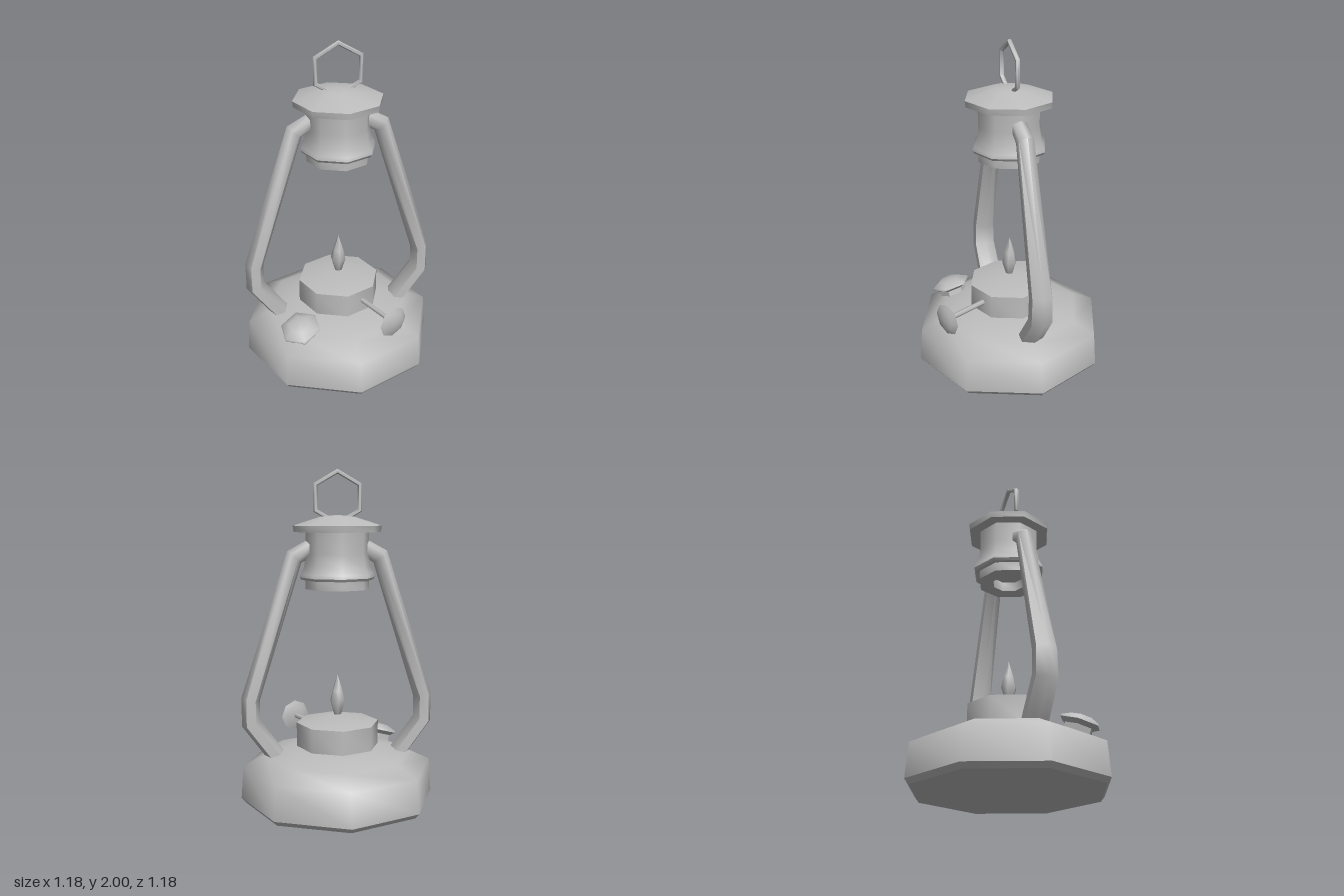
import * as THREE from 'three';
import { toCreasedNormals } from 'three/addons/utils/BufferGeometryUtils.js';

const metal = new THREE.MeshStandardMaterial({ color: 0xbcbcbc });
metal.name = 'grey metal';

function add(parent, name, geometry) {
  const mesh = new THREE.Mesh(geometry, metal);
  mesh.name = name;
  parent.add(mesh);
  return mesh;
}

// Faceted turned part; points run from the bottom up the outside
function turned(points, sides = 8) {
  return new THREE.LatheGeometry(points.map(p => new THREE.Vector2(...p)), sides);
}

const creased = (geometry, angle = 0.82) => toCreasedNormals(geometry, angle);

// Mitred hexagonal tube along path points [x, y, halfWidth, halfDepth]
function sweptArm(path, sides = 6) {
  const pts = path.map(p => new THREE.Vector2(p[0], p[1]));
  const positions = [], index = [];
  path.forEach(([x, y, w, d], i) => {
    const before = pts[i].clone().sub(pts[Math.max(i - 1, 0)]).normalize();
    const after = pts[Math.min(i + 1, pts.length - 1)].clone().sub(pts[i]).normalize();
    const t = before.clone().add(after).normalize();
    const stretch = w / t.dot(i ? before : after);
    for (let j = 0; j < sides; j++) {
      const a = (j / sides) * Math.PI * 2;
      const u = Math.cos(a) * stretch;
      const v = Math.sin(a) / Math.sin(Math.PI / 3) * d;
      positions.push(x + t.y * u, y - t.x * u, -v);
      if (i < path.length - 1) {
        const p = i * sides + j, q = i * sides + (j + 1) % sides;
        index.push(p, q, p + sides, q, q + sides, p + sides);
      }
    }
  });
  const g = new THREE.BufferGeometry();
  g.setAttribute('position', new THREE.Float32BufferAttribute(positions, 3));
  g.setIndex(index);
  return creased(g, 1.1);
}

export function createModel() {
  const lantern = new THREE.Group();
  lantern.name = 'lantern';
  const up = new THREE.Vector3(0, 1, 0);

  // Fuel tank with a bevelled foot
  add(lantern, 'tankFoot', creased(turned([[0, 0], [0.565, 0], [0.59, 0.03]])));
  add(lantern, 'tank', turned([[0.59, 0.03], [0.575, 0.23], [0.44, 0.295], [0.25, 0.345], [0, 0.35]]));

  // Burner and flame
  add(lantern, 'burner', creased(turned([[0.25, 0.33], [0.25, 0.49], [0, 0.54]])));
  add(lantern, 'flame', turned([[0, 0.52], [0.022, 0.53], [0.047, 0.615], [0.033, 0.68], [0, 0.78]], 6));

  // Chimney, open underneath
  add(lantern, 'chimneyMouth', creased(turned([
    [0, 1.36], [0.1, 1.36], [0.1, 1.3], [0.19, 1.3], [0.19, 1.36],
  ])));
  add(lantern, 'chimneyLip', creased(turned([[0.17, 1.355], [0.215, 1.355], [0.225, 1.37]])));
  add(lantern, 'chimney', turned([
    [0.225, 1.37], [0.22, 1.39], [0.2, 1.43], [0.188, 1.51], [0.19, 1.64],
  ]));
  add(lantern, 'hood', creased(turned([
    [0.15, 1.635], [0.26, 1.635], [0.265, 1.672], [0.1, 1.725], [0, 1.735],
  ])));

  // Hexagonal carrying ring
  const ring = add(lantern, 'carryRing', creased(new THREE.TorusGeometry(0.151, 0.014, 6, 6), 1.02));
  ring.position.y = 1.835;
  ring.rotation.z = Math.PI / 6;

  // Side arms
  for (const [side, name] of [[1, 'leftArm'], [-1, 'rightArm']]) {
    add(lantern, name, sweptArm([
      [side * 0.345, 0.25, 0.055, 0.068],
      [side * 0.525, 0.495, 0.055, 0.064],
      [side * 0.525, 0.645, 0.055, 0.06],
      [side * 0.257, 1.49, 0.05, 0.045],
      [side * 0.13, 1.56, 0.05, 0.04],
    ]));
  }

  // Tilted filler cap
  const filler = new THREE.Group();
  filler.name = 'fillerCap';
  add(filler, 'fillerNeck', creased(turned([[0.085, -0.11], [0.085, -0.01]], 6)));
  add(filler, 'fillerLid', creased(turned([
    [0.07, -0.03], [0.123, 0], [0.118, 0.012], [0.065, 0.038], [0, 0.045],
  ], 6), 1.06));
  filler.position.set(-0.305, 0.345, 0.3);
  filler.quaternion.setFromUnitVectors(up, new THREE.Vector3(-0.23, 0.94, 0.23).normalize());
  lantern.add(filler);

  // Wick knob on its stem, pointing forward and to the left
  const knob = new THREE.Group();
  knob.name = 'wickKnob';
  const stem = add(knob, 'knobStem', new THREE.CylinderGeometry(0.016, 0.016, 0.32, 6));
  stem.position.y = -0.16;
  const wheel = add(knob, 'knobWheel', creased(turned([
    [0, -0.018], [0.06, -0.014], [0.098, 0], [0.06, 0.018], [0, 0.026],
  ])));
  wheel.rotation.y = Math.PI / 8;
  knob.position.set(0.22, 0.42, 0.467);
  knob.quaternion.setFromUnitVectors(up, new THREE.Vector3(0.41, 0, 0.91).normalize());
  lantern.add(knob);

  return lantern;
}
